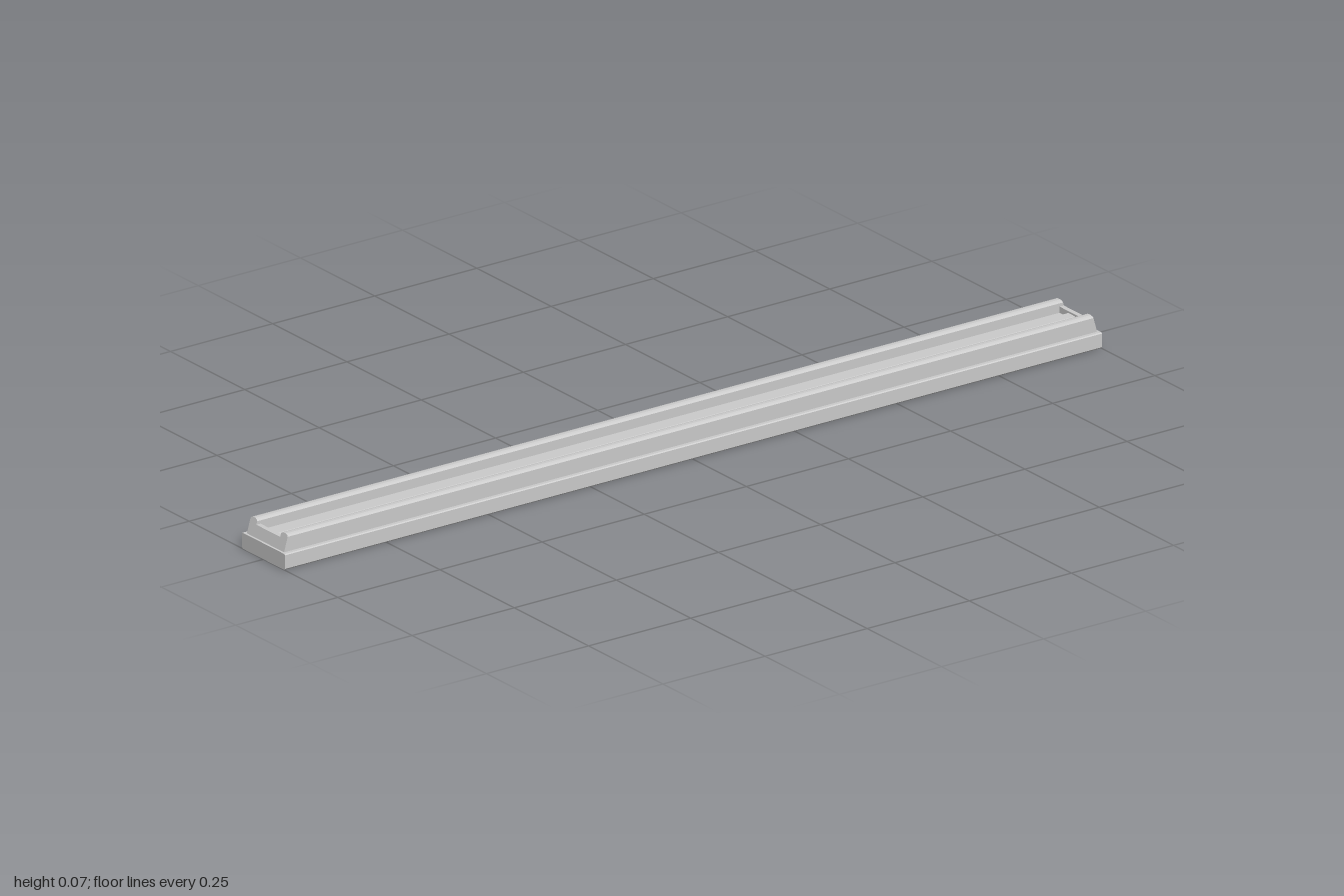
import * as THREE from 'three';

const material = new THREE.MeshStandardMaterial({ color: 0xcccccc, flatShading: true });

// Outer x of the sloping end faces at height y
const endX = (y) => (y <= 0.034 ? 0.995 : 0.995 - (y - 0.034) * 0.28);

// Sweeps a (z, y) cross-section along x between x0 and x1
function bar(name, points, x0, x1, rake = false) {
  const shape = new THREE.Shape(points.map(([z, y]) => new THREE.Vector2(-z, y)));
  const geo = new THREE.ExtrudeGeometry(shape, { depth: x1 - x0, bevelEnabled: false });
  geo.translate(0, 0, x0).rotateY(Math.PI / 2);
  if (rake) {
    // Lean any vertex lying on an outer end face inwards with height
    const p = geo.attributes.position;
    for (let i = 0; i < p.count; i++) {
      if (Math.abs(p.getX(i)) > 0.99) p.setX(i, Math.sign(p.getX(i)) * endX(p.getY(i)));
    }
    geo.computeVertexNormals();
  }
  const mesh = new THREE.Mesh(geo, material);
  mesh.name = name;
  return mesh;
}

const rect = (z0, z1, y0, y1) => [[z0, y0], [z1, y0], [z1, y1], [z0, y1]];

export function createModel() {
  const group = new THREE.Group();
  group.name = 'trackBar';

  // Wide base with softened long edges
  const w = 0.0725, b = 0.003;
  group.add(bar('base', [
    [-w + b, 0], [w - b, 0], [w, b], [w, 0.032], [w - 0.002, 0.034],
    [-w + 0.002, 0.034], [-w, 0.032], [-w, b],
  ], -1, 1));

  // Upper channel floor and raised centre rib
  group.add(bar('channelFloor', rect(-0.042, 0.042, 0.034, 0.045), -0.98, 0.98));
  group.add(bar('centreRib', [[-0.016, 0.045], [0.016, 0.045], [0.011, 0.054], [-0.011, 0.054]], -0.98, 0.98));

  for (const s of [-1, 1]) {
    // Side walls carrying the round-topped rails
    const wall = bar('sideWall', rect(0.04, 0.0625, 0.034, 0.058), -0.995, 0.995, true);
    const rail = bar('rail', [
      [0.04, 0.058], [0.0625, 0.058], [0.0625, 0.065], [0.06, 0.068],
      [0.055, 0.0695], [0.0475, 0.0695], [0.0425, 0.068], [0.04, 0.065],
    ], -0.995, 0.995, true);
    // End walls closing the channel
    const end = s < 0
      ? bar('endWall', rect(-0.04, 0.04, 0.034, 0.058), -0.995, -0.978, true)
      : bar('endWall', rect(-0.04, 0.04, 0.034, 0.058), 0.978, 0.995, true);
    if (s < 0) for (const m of [wall, rail]) m.rotation.y = Math.PI;
    group.add(wall, rail, end);
  }
  return group;
}
